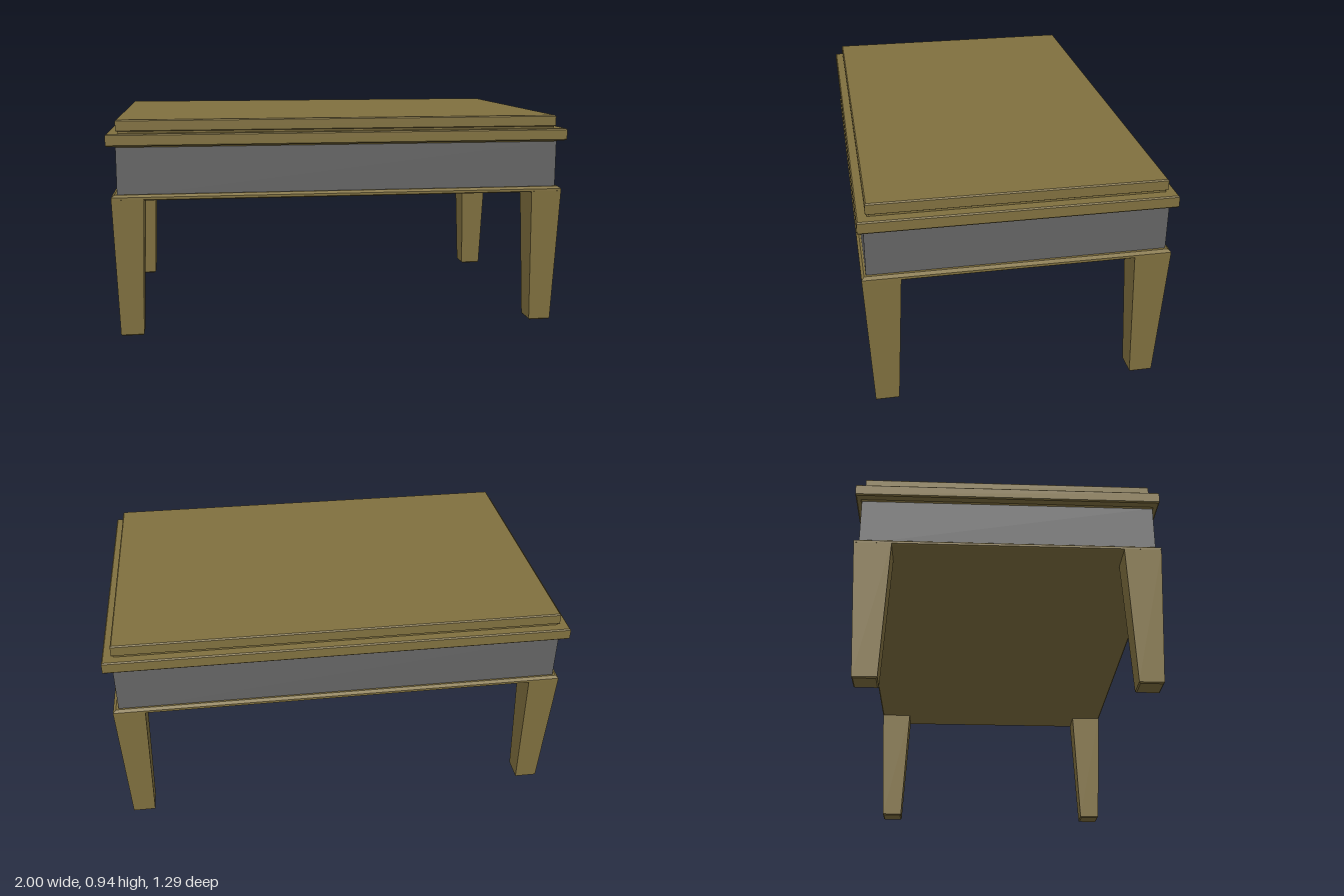
import * as THREE from 'three';

const wood = new THREE.MeshStandardMaterial({ color: 0x80703f, flatShading: true });
const grey = new THREE.MeshStandardMaterial({ color: 0x646464, flatShading: true });

// Solid from stacked rectangles, each [y, halfWidth, halfDepth], bottom to top
function stack(name, material, sections) {
  const pos = [];
  const ring = ([y, w, d]) => [[-w, y, d], [w, y, d], [w, y, -d], [-w, y, -d]];
  const quad = (a, b, c, d) => [a, b, c, a, c, d].forEach((p) => pos.push(...p));
  const rings = sections.map(ring);
  for (let i = 0; i < rings.length - 1; i++) {
    for (let k = 0; k < 4; k++) {
      const n = (k + 1) % 4;
      quad(rings[i][k], rings[i][n], rings[i + 1][n], rings[i + 1][k]);
    }
  }
  const [b0, b1, b2, b3] = rings[0];
  quad(b3, b2, b1, b0);
  quad(...rings[rings.length - 1]);
  const geometry = new THREE.BufferGeometry();
  geometry.setAttribute('position', new THREE.Float32BufferAttribute(pos, 3));
  geometry.computeVertexNormals();
  const mesh = new THREE.Mesh(geometry, material);
  mesh.name = name;
  return mesh;
}

// Slab with chamfered top and bottom edges
function slab(name, material, y0, y1, w, d, c) {
  return stack(name, material, [
    [y0, w - c, d - c], [y0 + c, w, d], [y1 - c, w, d], [y1, w - c, d - c],
  ]);
}

export function createModel() {
  const table = new THREE.Group();
  table.name = 'table';

  // Base rim, apron and stepped top
  table.add(stack('baseRim', wood, [
    [0.598, 0.98, 0.632], [0.602, 0.985, 0.637], [0.612, 0.985, 0.637], [0.622, 0.972, 0.626],
  ]));
  table.add(stack('apron', grey, [[0.61, 0.961, 0.618], [0.825, 0.961, 0.618]]));
  table.add(stack('topMoulding', wood, [[0.822, 0.961, 0.618], [0.832, 0.968, 0.625]]));
  table.add(slab('topEdge', wood, 0.828, 0.88, 1, 0.643, 0.005));
  table.add(stack('topPanel', wood, [
    [0.875, 0.953, 0.6], [0.887, 0.953, 0.6], [0.891, 0.96, 0.607],
    [0.932, 0.96, 0.607], [0.937, 0.955, 0.602],
  ]));

  // Four tapered legs
  for (const [sx, sz, side] of [[1, 1, 'frontLeft'], [-1, 1, 'frontRight'], [1, -1, 'backLeft'], [-1, -1, 'backRight']]) {
    const leg = stack(side + 'Leg', wood, [
      [0, 0.044, 0.045], [0.005, 0.049, 0.05], [0.605, 0.068, 0.078],
    ]);
    leg.position.set(sx * 0.917, 0, sz * 0.559);
    table.add(leg);
  }
  return table;
}
